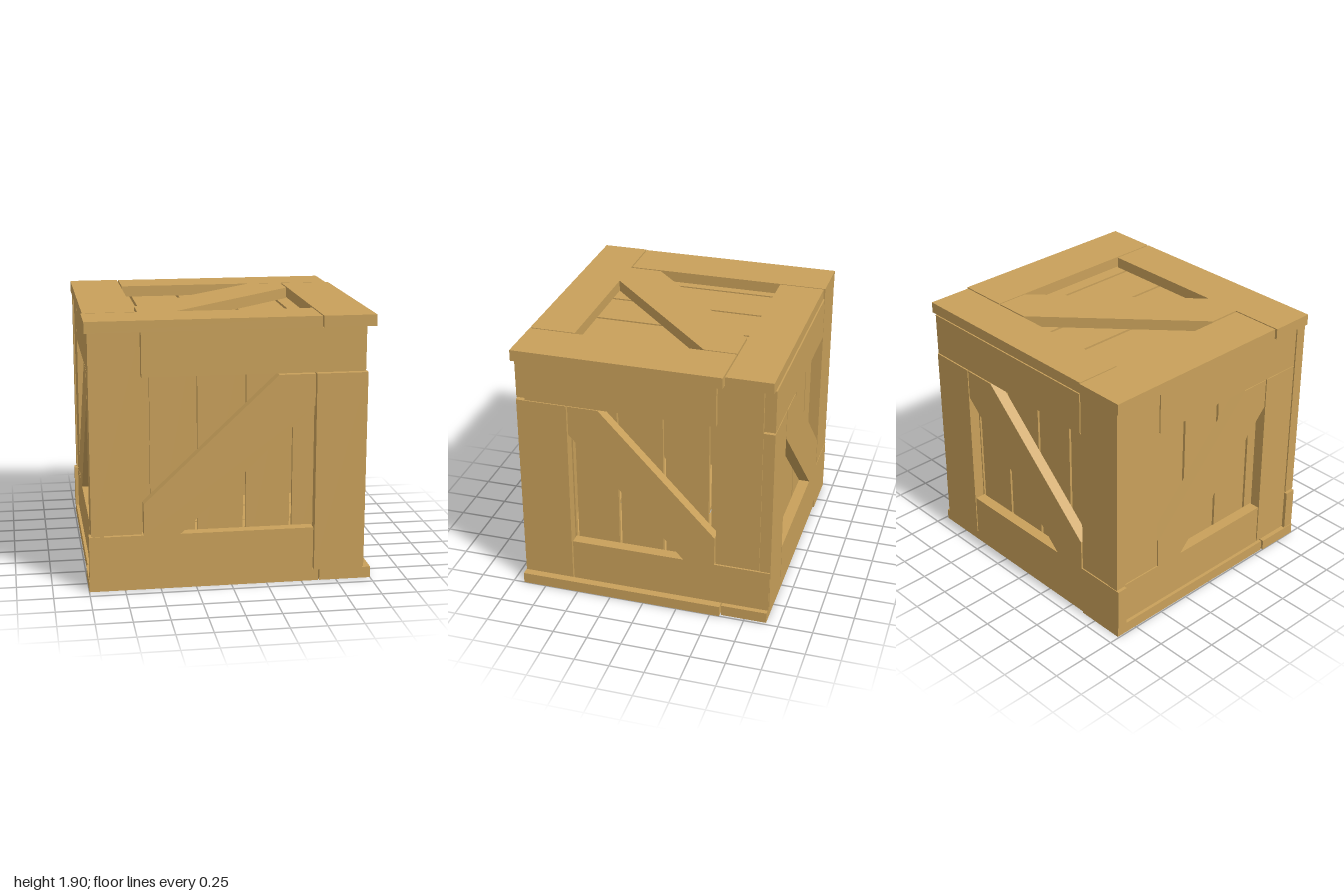
import * as THREE from 'three';

const wood = new THREE.MeshStandardMaterial({ color: 0xc8a05a, flatShading: true });
const T = 0.08; // frame board thickness
const P = 0.03; // inner plank thickness

function box(name, [u0, v0, u1, v1], depth, w) {
  const mesh = new THREE.Mesh(new THREE.BoxGeometry(u1 - u0, v1 - v0, depth), wood);
  mesh.position.set((u0 + u1) / 2, (v0 + v1) / 2, w);
  mesh.name = name;
  return mesh;
}

// One crate wall in its own u, v plane: a pinwheel frame, a brace and planks on the inner side
function wall(name, { boards, brace, area }, gaps, inner, horizontal = false) {
  const g = new THREE.Group();
  g.name = name;
  boards.forEach((b, i) => g.add(box('frameBoard' + (i + 1), b, T, T / 2)));

  const shape = new THREE.Shape(brace.map(([u, v]) => new THREE.Vector2(u, v)));
  const diagonal = new THREE.Mesh(
    new THREE.ExtrudeGeometry(shape, { depth: T, bevelEnabled: false }), wood);
  diagonal.name = 'diagonalBrace';
  g.add(diagonal);

  const [u0, v0, u1, v1] = area;
  const cuts = [...gaps].sort((a, b) => a - b);
  const starts = [horizontal ? v0 : u0, ...cuts.map(c => c + 0.01)];
  const ends = [...cuts.map(c => c - 0.01), horizontal ? v1 : u1];
  const w = inner < 0 ? -P / 2 : T + P / 2;
  starts.forEach((s, i) => {
    const r = horizontal ? [u0, s, u1, ends[i]] : [s, v0, ends[i], v1];
    g.add(box('plank' + (i + 1), r, P, w));
  });
  return g;
}

// Layouts: boards are [u0, v0, u1, v1]
const frontLayout = {
  boards: [
    [-0.98, 0.405, -0.63, 1.82], [-0.62, 1.51, 0.93, 1.82],
    [0.59, 0.08, 0.94, 1.5], [-0.995, 0.08, 0.58, 0.395],
  ],
  brace: [[-0.615, 0.395], [-0.36, 0.395], [0.58, 1.28], [0.58, 1.5], [0.325, 1.5], [-0.615, 0.62]],
  area: [-0.88, 0.09, 0.86, 1.81],
};
const sideLayout = {
  boards: [
    [-0.915, 0.085, -0.55, 1.5], [-0.85, 1.505, 0.515, 1.82],
    [0.525, 0.41, 0.84, 1.82], [-0.54, 0.085, 0.915, 0.4],
  ],
  brace: [[-0.54, 1.5], [-0.54, 1.28], [0.29, 0.4], [0.515, 0.4], [0.515, 0.62], [-0.32, 1.5]],
  area: [-0.83, 0.09, 0.83, 1.81],
};
const lidLayout = {
  boards: [
    [-0.99, -0.58, -0.625, 0.92], [-0.615, 0.58, 0.98, 0.91],
    [0.63, -0.92, 1, 0.57], [-1, -0.92, 0.62, -0.59],
  ],
  brace: [[-0.61, -0.59], [-0.345, -0.59], [0.62, 0.335], [0.62, 0.57], [0.36, 0.57], [-0.61, -0.35]],
  area: [-0.88, -0.83, 0.86, 0.83],
};

export function createModel() {
  const crate = new THREE.Group();
  crate.name = 'woodenCrate';
  const mirrored = list => list.map(v => -v);

  // Front and back walls
  const frontGaps = [-0.57, -0.24, 0.1, 0.43];
  const front = wall('frontWall', frontLayout, frontGaps, -1);
  front.position.z = 0.92 - T;
  const back = wall('backWall', frontLayout, mirrored(frontGaps), 1);
  back.position.z = -0.92;

  // Side walls, with u running towards -z
  const sideGaps = [-0.53, -0.2, 0.13, 0.46];
  const left = wall('leftWall', sideLayout, sideGaps, -1);
  left.position.x = 0.95 - T;
  const right = wall('rightWall', sideLayout, mirrored(sideGaps), 1);
  right.position.x = -0.97;
  for (const side of [left, right]) side.rotation.y = Math.PI / 2;

  // Lid and base, with v running towards -z; their planks cross
  const lidGaps = [-0.55, -0.19, 0.165, 0.525];
  const baseGaps = [-0.54, -0.18, 0.18, 0.54];
  const lid = wall('lid', lidLayout, lidGaps, -1);
  lid.position.y = 1.9 - T;
  const base = wall('base', lidLayout, baseGaps, 1, true);
  for (const panel of [lid, base]) panel.rotation.x = -Math.PI / 2;

  crate.add(front, back, left, right, lid, base);
  return crate;
}
